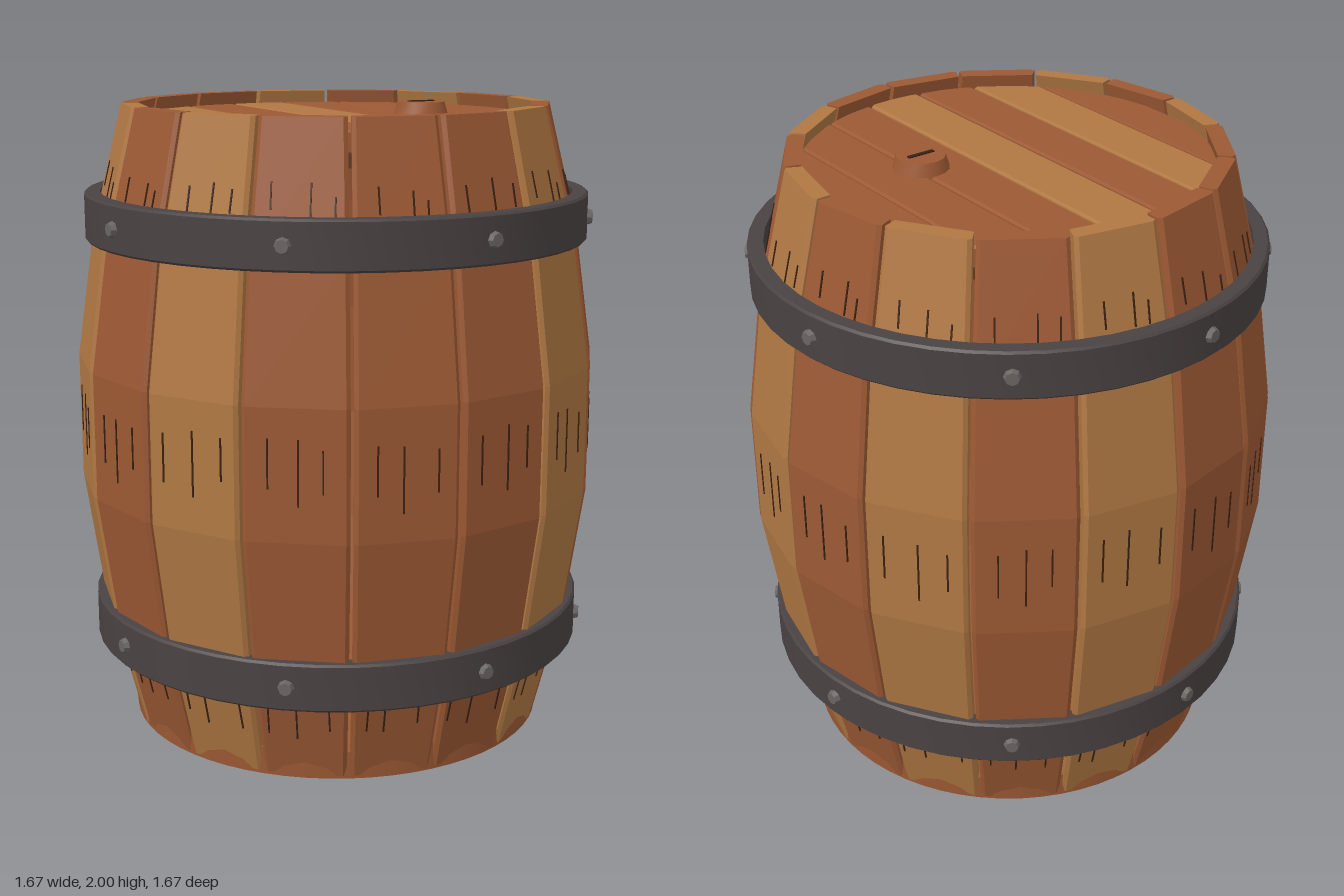
import * as THREE from 'three';
import { toCreasedNormals } from 'three/addons/utils/BufferGeometryUtils.js';

const COUNT = 16, STEP = (Math.PI * 2) / COUNT, HALF = STEP / 2;
// corner radius of the barrel at each height
const PROFILE = [[0.01, 0.682], [0.4, 0.78], [0.8, 0.838], [1.2, 0.838], [1.6, 0.78], [2, 0.68]];
const LIGHT_STAVES = [1, 3, 5, 7, 11, 13];

function makeMaterial(name, color) {
  const m = new THREE.MeshStandardMaterial({ color });
  m.name = name;
  return m;
}

function radiusAt(y) {
  for (let i = 1; i < PROFILE.length; i++) {
    const [y0, r0] = PROFILE[i - 1], [y1, r1] = PROFILE[i];
    if (y <= y1) return r0 + ((r1 - r0) * (y - y0)) / (y1 - y0);
  }
  return PROFILE[PROFILE.length - 1][1];
}

// one bowed plank with chamfered outer edges, flat shaded
function staveGeometry() {
  const gap = 0.007, c = 0.011, thick = 0.055, pos = [];
  const rings = PROFILE.map(([y, r]) => {
    const ri = r - thick;
    const w = r * Math.sin(HALF) - gap, a = r * Math.cos(HALF);
    const wi = ri * Math.sin(HALF) - gap, ai = ri * Math.cos(HALF);
    return [[-w, a - c], [-w + c, a], [w - c, a], [w, a - c], [wi, ai], [-wi, ai]]
      .map(([x, z]) => [x, y, z]);
  });
  const tri = (p, q, r) => pos.push(...p, ...q, ...r);
  for (let k = 0; k < rings.length - 1; k++) {
    for (let j = 0; j < 6; j++) {
      const n = (j + 1) % 6, lo = rings[k], hi = rings[k + 1];
      tri(lo[j], lo[n], hi[n]);
      tri(lo[j], hi[n], hi[j]);
    }
  }
  const bottom = rings[0], top = rings[rings.length - 1];
  for (let j = 1; j < 5; j++) {
    tri(top[0], top[j], top[j + 1]);
    tri(bottom[0], bottom[j + 1], bottom[j]);
  }
  const g = new THREE.BufferGeometry();
  g.setAttribute('position', new THREE.Float32BufferAttribute(pos, 3));
  g.computeVertexNormals();
  return g;
}

// strip of a disc between x0 and x1, lying flat
function lidPlankGeometry(x0, x1, radius, depth) {
  const bevel = 0.007, pts = [], n = 8;
  const arc = (x) => Math.sqrt(Math.max(0, radius * radius - x * x));
  for (let i = 0; i <= n; i++) {
    const x = x0 + ((x1 - x0) * i) / n;
    pts.push(new THREE.Vector2(x, -arc(x)));
  }
  for (let i = n; i >= 0; i--) {
    const x = x0 + ((x1 - x0) * i) / n;
    pts.push(new THREE.Vector2(x, arc(x)));
  }
  const g = new THREE.ExtrudeGeometry(new THREE.Shape(pts), {
    depth: depth - 2 * bevel, bevelEnabled: true, bevelSize: bevel,
    bevelThickness: bevel, bevelOffset: -bevel, bevelSegments: 1,
  });
  return g.translate(0, 0, bevel).rotateX(-Math.PI / 2);
}

export function createModel() {
  const barrel = new THREE.Group();
  barrel.name = 'barrel';
  const redWood = makeMaterial('redWood', 0x9c5934);
  const tanWood = makeMaterial('tanWood', 0xb07843);
  const darkWood = makeMaterial('darkWood', 0x5f3a20);
  const grainDark = makeMaterial('grainDark', 0x3a2012);
  const iron = makeMaterial('iron', 0x4a4242);
  const rivetMetal = makeMaterial('rivetMetal', 0x6a6562);

  const add = (parent, name, geometry, material, x = 0, y = 0, z = 0) => {
    const mesh = new THREE.Mesh(geometry, material);
    mesh.name = name;
    mesh.position.set(x, y, z);
    parent.add(mesh);
    return mesh;
  };

  // staves with thin grain marks at the middle and both ends
  const stave = staveGeometry();
  const grain = new THREE.BoxGeometry(0.005, 1, 0.006);
  const tilt = Math.atan(0.25 * Math.cos(HALF));
  const marks = [
    [-0.09, 1.02, 0.15, 0], [0, 1.0, 0.2, 0], [0.09, 1.02, 0.13, 0],
    [-0.1, 0.22, 0.1, tilt], [-0.03, 0.21, 0.12, tilt], [0.08, 0.22, 0.1, tilt],
    [-0.07, 1.77, 0.08, -tilt], [0.03, 1.76, 0.1, -tilt], [0.09, 1.75, 0.07, -tilt],
  ];
  for (let i = 0; i < COUNT; i++) {
    const g = new THREE.Group();
    g.name = 'staveGroup';
    g.rotation.y = (i + 0.5) * STEP;
    add(g, 'stave', stave, LIGHT_STAVES.includes(i) ? tanWood : redWood);
    marks.forEach(([x, y, h, t], k) => {
      const dx = 0.012 * Math.sin(i * 2.3 + k * 1.7), dy = 0.015 * Math.sin(i * 1.9 + k);
      const m = add(g, 'grainMark', grain, grainDark, x + dx, y + dy,
        radiusAt(y + dy) * Math.cos(HALF));
      m.scale.y = h;
      m.rotation.x = t;
    });
    barrel.add(g);
  }

  // round base
  add(barrel, 'base', new THREE.CylinderGeometry(0.682, 0.676, 0.09, 64), redWood, 0, 0.045, 0);

  // lid planks over a dark backing
  const lidRadius = 0.632;
  add(barrel, 'lidBacking', new THREE.CylinderGeometry(0.61, 0.61, 0.06, 48), darkWood, 0, 1.88, 0);
  const edges = [-0.631, -0.465, -0.28, -0.098, 0.09, 0.275, 0.457, 0.631];
  for (let i = 0; i < edges.length - 1; i++) {
    const plank = lidPlankGeometry(edges[i] + 0.005, edges[i + 1] - 0.005, lidRadius, 0.07);
    add(barrel, 'lidPlank', plank, i === 1 || i === 3 ? tanWood : redWood, 0, 1.89, 0);
  }

  // bung with a slot
  add(barrel, 'bung', toCreasedNormals(new THREE.CylinderGeometry(0.075, 0.088, 0.045, 16), 0.5),
    redWood, 0.25, 1.977, 0.1);
  add(barrel, 'bungSlot', new THREE.BoxGeometry(0.09, 0.006, 0.014), grainDark, 0.25, 2.0, 0.1);

  // iron hoops with rivets
  const hoopProfile = [[0.75, -0.075], [0.793, -0.075], [0.8, -0.068], [0.8, 0.068],
    [0.793, 0.075], [0.75, 0.075], [0.75, -0.075]].map(([x, y]) => new THREE.Vector2(x, y));
  const hoop = toCreasedNormals(new THREE.LatheGeometry(hoopProfile, 48), 0.5);
  const rivet = toCreasedNormals(
    new THREE.CylinderGeometry(0.02, 0.029, 0.025, 8).rotateX(Math.PI / 2), 0.4);
  for (const y of [0.345, 1.655]) {
    add(barrel, 'hoop', hoop, iron, 0, y, 0);
    for (let k = 0; k < 8; k++) {
      const a = 0.15 + (k * Math.PI) / 4;
      add(barrel, 'rivet', rivet, rivetMetal, 0.802 * Math.sin(a), y, 0.802 * Math.cos(a))
        .rotation.y = a;
    }
  }
  return barrel;
}
